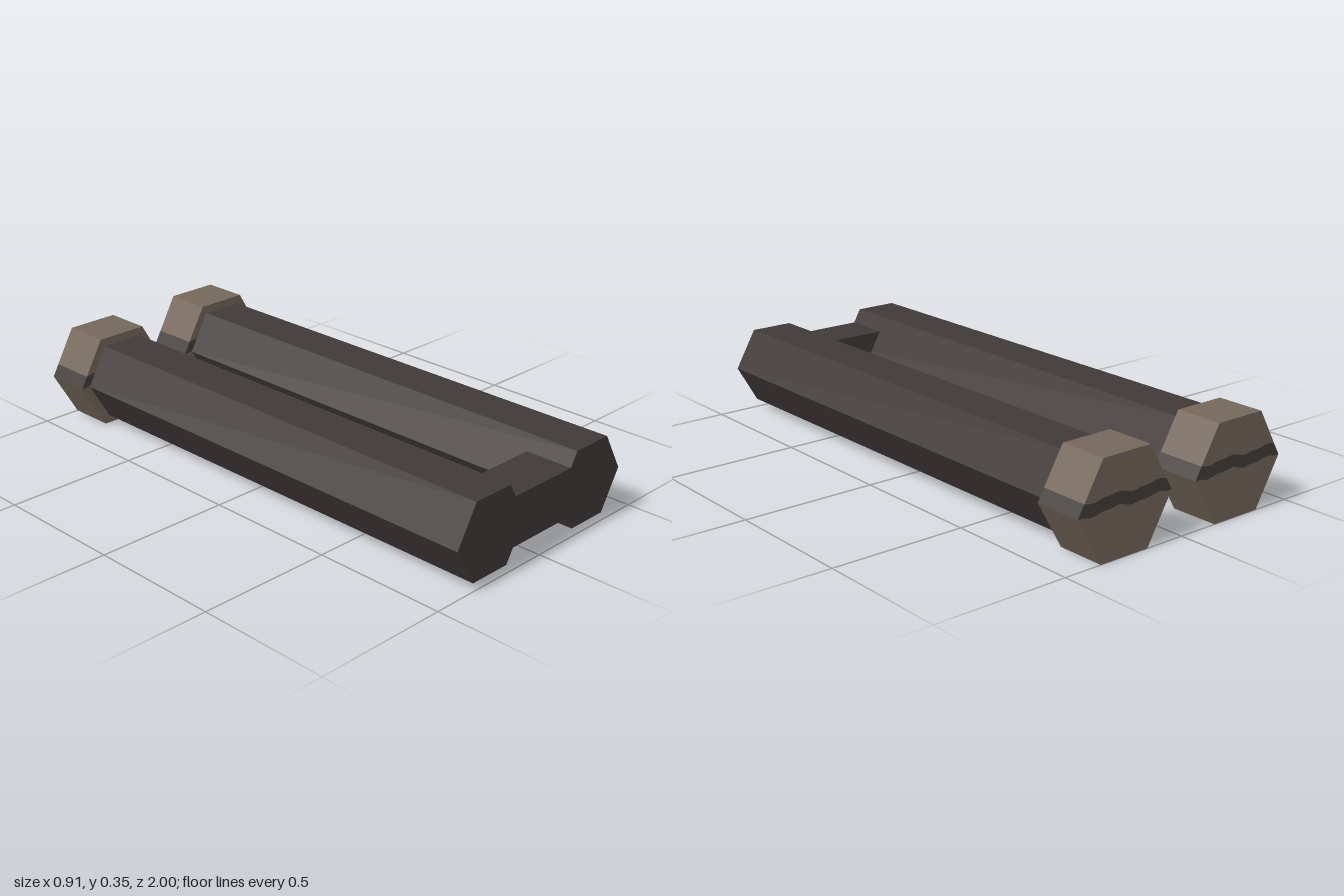
import * as THREE from 'three';

const CENTRE_X = 0.254, CENTRE_Y = 0.174;
const TUBE_R = 0.164, CAP_R = 0.2;
const S = Math.sqrt(3);

export function createModel() {
  const model = new THREE.Group();
  const mat = (name, color) =>
    new THREE.MeshStandardMaterial({ name, color, flatShading: true });
  const darkMetal = mat('dark metal', 0x403938);
  const bronze = mat('dull bronze', 0x75675b);
  const bandDark = mat('dark band', 0x443e3a);

  // Extrude a cross-section between two z positions
  function prism(name, points, z0, z1, material, parent) {
    const shape = new THREE.Shape(points.map(([x, y]) => new THREE.Vector2(x, y)));
    const geometry = new THREE.ExtrudeGeometry(shape, { depth: z1 - z0, bevelEnabled: false });
    const mesh = new THREE.Mesh(geometry, material);
    mesh.name = name;
    mesh.position.z = z0;
    parent.add(mesh);
  }

  const hexagon = (r) => Array.from({ length: 6 }, (_, i) => {
    const a = i * Math.PI / 3;
    return [r * Math.cos(a), r * Math.sin(a)];
  });

  // Uneven edges of the cap's band, running from -x to +x
  const wave = (x) => 0.006 * Math.sin(x * 34) + 0.003 * Math.sin(x * 75);
  function edge(y) {
    const half = CAP_R - y / S, n = 16, pts = [];
    for (let i = 0; i <= n; i++) {
      const t = -1 + 2 * i / n;
      const x = t * half;
      pts.push([x, y + wave(x) * (1 - t ** 8)]);
    }
    return pts;
  }
  const low = edge(0), high = edge(0.044);
  const h = CAP_R * S / 2, f = CAP_R / 2;

  for (const side of [1, -1]) {
    const arm = new THREE.Group();
    arm.name = side > 0 ? 'leftArm' : 'rightArm';
    arm.position.set(side * CENTRE_X, CENTRE_Y, 0);
    prism('hexTube', hexagon(TUBE_R), -0.82, 1, darkMetal, arm);

    // Hexagonal cap, split into layers around the dark band
    const cap = new THREE.Group();
    cap.name = 'cap';
    prism('capLower', [[-f, -h], [f, -h], ...low.slice().reverse()], -1, -0.82, bronze, cap);
    prism('capBand', [...low, ...high.slice().reverse()], -1, -0.82, bandDark, cap);
    prism('capUpper', [...high, [f, h], [-f, h]], -1, -0.82, bronze, cap);
    arm.add(cap);
    model.add(arm);
  }

  // Bridge fitted between the inner corners of the tubes
  const b = 0.091, inner = CENTRE_X - TUBE_R, outer = inner + b / S;
  prism('bridge', [
    [-outer, CENTRE_Y - b], [outer, CENTRE_Y - b], [inner, CENTRE_Y],
    [outer, CENTRE_Y + b], [-outer, CENTRE_Y + b], [-inner, CENTRE_Y],
  ], 0.82, 1, darkMetal, model);

  return model;
}
